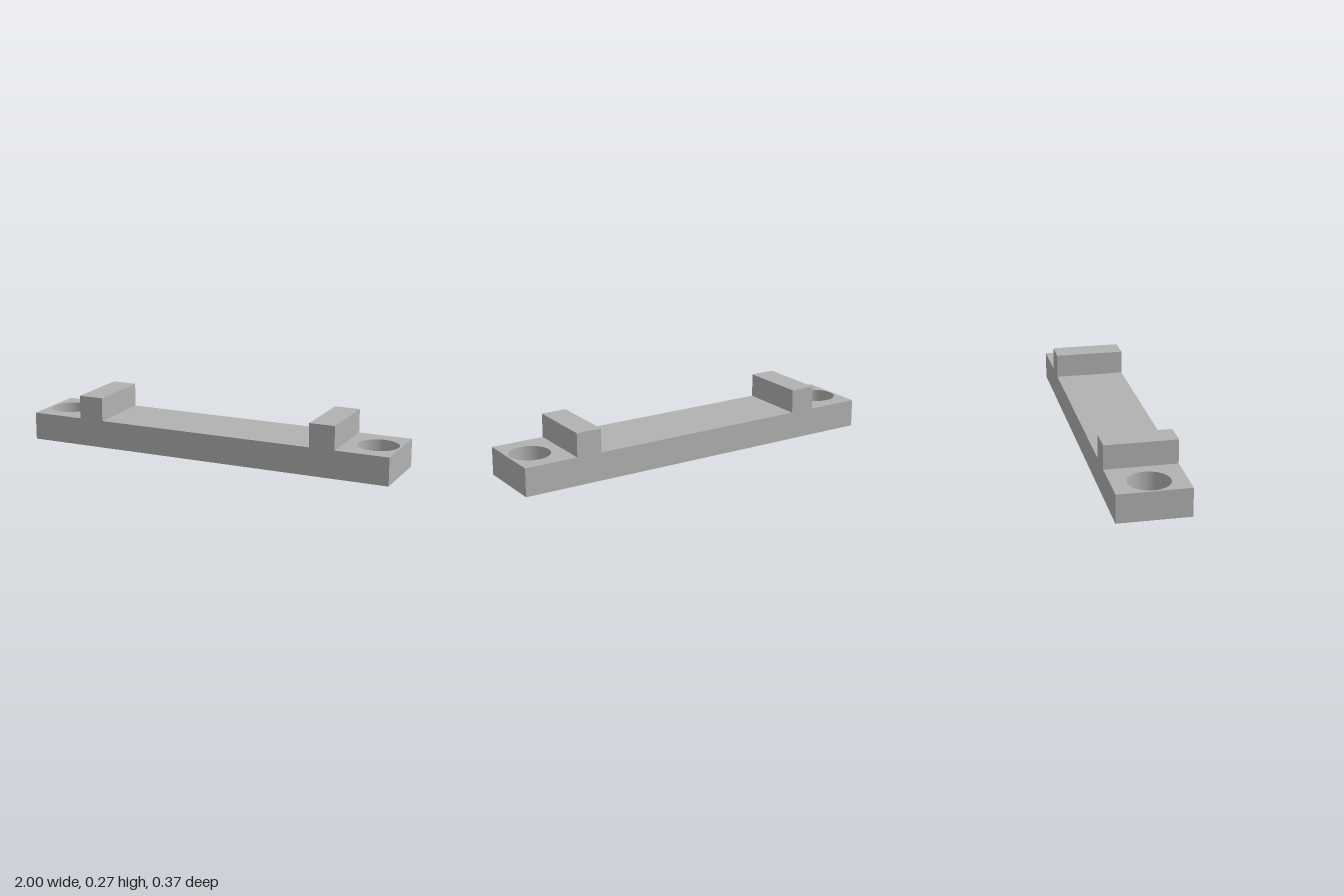
import * as THREE from 'three';
import { toCreasedNormals } from 'three/addons/utils/BufferGeometryUtils.js';

const DEPTH = 0.366, BASE_H = 0.146, TOP = 0.27;
const HOLE_X = 0.884, HOLE_R = 0.105;
const RIDGE_IN = 0.585, RIDGE_OUT = 0.719;

export function createModel() {
  const group = new THREE.Group();
  group.name = 'mountingBracket';

  const grey = new THREE.MeshStandardMaterial({ color: 0xb2b2b2 });
  grey.name = 'grey';

  // Flat bar with a round screw hole through each end
  const outline = new THREE.Shape();
  outline.moveTo(-1, -DEPTH / 2);
  outline.lineTo(1, -DEPTH / 2);
  outline.lineTo(1, DEPTH / 2);
  outline.lineTo(-1, DEPTH / 2);
  outline.closePath();
  for (const side of [-1, 1]) {
    const hole = new THREE.Path();
    hole.absarc(side * HOLE_X, 0, HOLE_R, 0, Math.PI * 2, true);
    outline.holes.push(hole);
  }
  const barGeometry = new THREE.ExtrudeGeometry(outline, {
    depth: BASE_H, bevelEnabled: false, curveSegments: 48,
  });
  barGeometry.rotateX(-Math.PI / 2);
  const bar = new THREE.Mesh(toCreasedNormals(barGeometry, Math.PI / 6), grey);
  bar.name = 'baseBar';
  group.add(bar);

  // Upright ridge across the bar, inboard of each hole
  const ridgeGeometry = new THREE.BoxGeometry(RIDGE_OUT - RIDGE_IN, TOP - BASE_H, DEPTH);
  for (const side of [-1, 1]) {
    const ridge = new THREE.Mesh(ridgeGeometry, grey);
    ridge.name = side > 0 ? 'leftRidge' : 'rightRidge';
    ridge.position.set(side * (RIDGE_IN + RIDGE_OUT) / 2, (BASE_H + TOP) / 2, 0);
    group.add(ridge);
  }

  return group;
}
